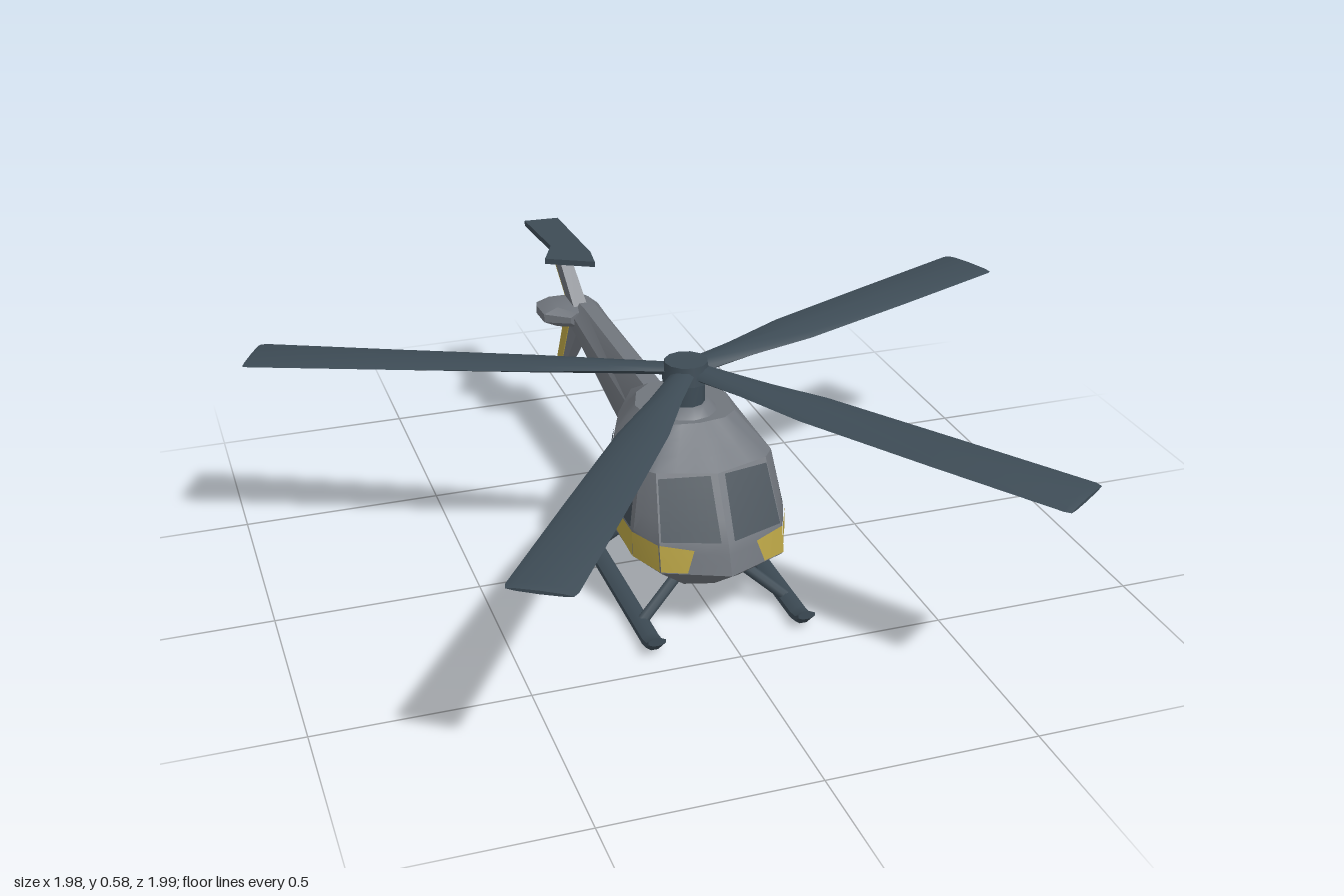
import * as THREE from 'three';
import { toCreasedNormals } from 'three/addons/utils/BufferGeometryUtils.js';

const paint = (name, color, extra = {}) =>
  Object.assign(new THREE.MeshStandardMaterial({ color, ...extra }), { name });

// Closed skin over rings of [x, y, z]; rings turn counterclockwise about the advance direction
function loft(rings, crease = 0.5) {
  const n = rings[0].length, pos = rings.flat(2), idx = [];
  for (let j = 0; j < rings.length - 1; j++)
    for (let i = 0; i < n; i++) {
      const a = j * n + i, b = j * n + (i + 1) % n;
      idx.push(a, b, b + n, a, b + n, a + n);
    }
  const cap = (ring, base, flip) => {
    const c = pos.length / 3;
    for (let k = 0; k < 3; k++) pos.push(ring.reduce((s, p) => s + p[k], 0) / n);
    for (let i = 0; i < n; i++) {
      const a = base + i, b = base + (i + 1) % n;
      if (flip) idx.push(c, b, a); else idx.push(c, a, b);
    }
  };
  cap(rings[0], 0, true);
  cap(rings[rings.length - 1], (rings.length - 1) * n, false);
  const g = new THREE.BufferGeometry();
  g.setAttribute('position', new THREE.Float32BufferAttribute(pos, 3));
  g.setIndex(idx);
  return toCreasedNormals(g, crease);
}

// Octagon facing +z, for the boom and the skids
const octagon = ([cx, cy, z, w, h]) => Array.from({ length: 8 }, (_, i) => {
  const a = (i + 0.5) * Math.PI / 4;
  return [cx + Math.cos(a) * w * 1.08, cy + Math.sin(a) * h * 1.08, z];
});

// Half plan outlines of the cabin [x, z], nose to rear, one per height
const heights = [0.068, 0.09, 0.175, 0.245, 0.39, 0.462];
const plans = [
  [[0, 0.25], [0.05, 0.24], [0.08, 0.18], [0.085, 0.05], [0.07, -0.03], [0.03, -0.06], [0, -0.06]],
  [[0, 0.31], [0.07, 0.29], [0.105, 0.23], [0.11, 0.05], [0.09, -0.05], [0.04, -0.085], [0, -0.085]],
  [[0, 0.43], [0.15, 0.365], [0.187, 0.27], [0.19, 0.05], [0.135, -0.07], [0.055, -0.165], [0, -0.165]],
  [[0, 0.405], [0.15, 0.35], [0.187, 0.27], [0.19, 0.05], [0.135, -0.07], [0.055, -0.18], [0, -0.18]],
  [[0, 0.325], [0.135, 0.28], [0.162, 0.245], [0.165, 0.05], [0.12, -0.06], [0.05, -0.18], [0, -0.18]],
  [[0, 0.2], [0.065, 0.19], [0.1, 0.16], [0.115, 0.06], [0.09, -0.01], [0.045, -0.05], [0, -0.05]],
];
// Point on the cabin at height step l and column c (negative c is the mirrored side)
function cabinPoint(l, c) {
  const j = Math.min(Math.floor(l), 4), u = Math.abs(c), i = Math.min(Math.floor(u), 5);
  const mix = THREE.MathUtils.lerp;
  const at = k => mix(mix(plans[j][i][k], plans[j][i + 1][k], u - i),
    mix(plans[j + 1][i][k], plans[j + 1][i + 1][k], u - i), l - j);
  return new THREE.Vector3(Math.sign(c) * at(0), mix(heights[j], heights[j + 1], l - j), at(1));
}

// Thin painted panel on the cabin; corners [l, c]: bottom start, bottom end, top end, top start
function panel([p, q, r, s], n = 6) {
  const pos = [], idx = [], e = 0.01;
  const midL = (p[0] + r[0]) / 2, midC = (p[1] + q[1] + r[1] + s[1]) / 4;
  for (let j = 0; j <= n; j++)
    for (let i = 0; i <= n; i++) {
      const u = i / n, v = j / n;
      const [l, c] = [0, 1].map(k =>
        (p[k] * (1 - u) + q[k] * u) * (1 - v) + (s[k] * (1 - u) + r[k] * u) * v);
      const li = l + Math.sign(midL - l) * e, ci = c + Math.sign(midC - c) * e;
      const o = cabinPoint(li, ci);
      const normal = cabinPoint(li, ci + e / 2).sub(o)
        .cross(cabinPoint(li + e / 2, ci).sub(o)).normalize();
      pos.push(...cabinPoint(l, c).addScaledVector(normal, 0.004).toArray());
      if (i < n && j < n) {
        const a = j * (n + 1) + i, b = a + n + 1;
        idx.push(a, a + 1, b + 1, a, b + 1, b);
      }
    }
  const g = new THREE.BufferGeometry();
  g.setAttribute('position', new THREE.Float32BufferAttribute(pos, 3));
  g.setIndex(idx);
  g.computeVertexNormals();
  return g;
}

// Tapered fin piece: sections [x, y, zBack, zFront, half thickness], bottom to top
const fin = sections => loft(sections.map(([x, y, z0, z1, t]) =>
  [[x - t, y, z1], [x + t, y, z1], [x + t, y, z0], [x - t, y, z0]]));

export function createModel() {
  const model = new THREE.Group();
  const grey = paint('bodyGrey', 0x70757c);
  const yellow = paint('trimYellow', 0xb5a043);
  const dark = paint('rotorSlate', 0x3d4b55);
  const glass = paint('windowGlass', 0x3f4a53, { side: THREE.DoubleSide });
  const add = (name, geometry, material, parent = model) => {
    const m = new THREE.Mesh(geometry, material);
    m.name = name;
    parent.add(m);
    return m;
  };
  const cylinder = (name, top, bottom, y0, y1, sides, material, x, z) =>
    add(name, toCreasedNormals(new THREE.CylinderGeometry(top, bottom, y1 - y0, sides), 0.9), material)
      .position.set(x, (y0 + y1) / 2, z);

  // Cabin
  const rings = Array.from({ length: 16 }, (_, j) =>
    Array.from({ length: 36 }, (_, i) => cabinPoint(j / 3, (i - 17) / 3).toArray()));
  add('cabin', loft(rings, 0.45), grey);

  // Windows and side trim, mirrored
  const panels = [
    ['windscreen', glass, [[3.02, 0.1], [3.02, 0.97], [3.92, 0.97], [3.97, 0.12]]],
    ['doorWindow', glass, [[3.02, 2.06], [3.02, 2.88], [3.94, 2.88], [3.94, 2.08]]],
    ['rearWindow', glass, [[3.04, 3.18], [3.04, 3.9], [3.85, 3.6], [3.9, 3.18]]],
    ['noseTrim', yellow, [[2.05, 0.62], [2.05, 1], [2.95, 1], [2.8, 0.5]]],
    ['cornerTrim', yellow, [[2.05, 1], [2.05, 2], [2.97, 2], [2.95, 1]]],
    ['sideTrim', yellow, [[2.05, 2], [2.25, 2.95], [2.97, 3], [2.97, 2]]],
  ];
  for (const [name, material, k] of panels) {
    add(name + 'Left', panel(k), material);
    add(name + 'Right', panel([k[1], k[0], k[3], k[2]].map(([l, c]) => [l, -c])), material);
  }

  // Tail boom and gearbox
  add('tailBoom', loft([
    [-0.02, 0.38, -0.8, 0.035, 0.025], [-0.018, 0.378, -0.74, 0.047, 0.04],
    [-0.015, 0.367, -0.65, 0.046, 0.052], [0, 0.29, -0.17, 0.056, 0.116], [0, 0.285, -0.1, 0.06, 0.12],
  ].map(octagon)), grey);
  add('tailGearbox', loft([
    [-0.07, 0.385, -0.8, 0.06, 0.02], [-0.07, 0.385, -0.77, 0.068, 0.028],
    [-0.07, 0.385, -0.7, 0.065, 0.028], [-0.04, 0.385, -0.66, 0.03, 0.02],
  ].map(octagon)), grey);

  // Fins: grey leading half, yellow trailing half
  add('lowerFinFront', fin([[-0.055, 0.2, -0.8, -0.765, 0.01], [-0.03, 0.36, -0.74, -0.66, 0.02]]), grey);
  add('lowerFinRear', fin([[-0.055, 0.2, -0.835, -0.79, 0.012], [-0.03, 0.37, -0.785, -0.735, 0.022]]), yellow);
  add('upperFinFront', fin([[-0.03, 0.39, -0.76, -0.68, 0.02], [-0.06, 0.55, -0.85, -0.765, 0.016]]), grey);
  add('upperFinRear', fin([[-0.03, 0.39, -0.785, -0.75, 0.017], [-0.06, 0.55, -0.875, -0.84, 0.014]]), yellow);

  // Plate on top of the fin
  const outline = [[-0.107, -0.995], [-0.012, -0.99], [0, -0.7], [-0.01, -0.625], [-0.13, -0.69], [-0.09, -0.78]];
  const plate = new THREE.ExtrudeGeometry(
    new THREE.Shape(outline.map(([x, z]) => new THREE.Vector2(x, -z))), { depth: 0.015, bevelEnabled: false });
  add('tailPlate', plate.rotateX(-Math.PI / 2).translate(0, 0.547, 0), dark);

  // Rotor mast and hub
  const hubX = -0.004, hubZ = 0.11;
  cylinder('mastBase', 0.055, 0.085, 0.45, 0.482, 12, grey, hubX, hubZ);
  cylinder('mast', 0.044, 0.046, 0.47, 0.555, 10, dark, hubX, hubZ);
  cylinder('hub', 0.052, 0.058, 0.538, 0.585, 12, dark, hubX, hubZ);

  // Rotor blades: sections [reach, half width, height, half thickness, twist]
  const blade = loft([
    [0.03, 0.03, 0.56, 0.014, 0.15], [0.18, 0.04, 0.558, 0.013, 0.12], [0.36, 0.06, 0.555, 0.011, 0.1],
    [0.7, 0.069, 0.548, 0.01, 0.06], [1.03, 0.075, 0.542, 0.009, 0.03], [1.045, 0.07, 0.541, 0.004, 0.03],
  ].map(([r, w, y, t, twist]) => Array.from({ length: 8 }, (_, i) => {
    const a = i * Math.PI / 4, h = Math.cos(a) * t, d = Math.sin(a) * w;
    return [r, y + h * Math.cos(twist) - d * Math.sin(twist), h * Math.sin(twist) + d * Math.cos(twist)];
  })), 0.7);
  const rotor = new THREE.Group();
  rotor.name = 'mainRotor';
  rotor.position.set(0, 0, 0.105);
  model.add(rotor);
  [[-25, 1.012], [55.3, 0.985], [124.7, 0.985], [205, 1.012]].forEach(([deg, reach], i) => {
    const m = add('blade' + (i + 1), blade, dark, rotor);
    m.rotation.y = -deg * Math.PI / 180;
    m.scale.x = reach;
  });

  // Landing skids with struts
  const strut = (name, a, b) => {
    const from = new THREE.Vector3(...a), to = new THREE.Vector3(...b);
    const m = add(name, new THREE.CylinderGeometry(0.014, 0.014, from.distanceTo(to), 8), dark);
    m.position.copy(from).add(to).multiplyScalar(0.5);
    m.quaternion.setFromUnitVectors(new THREE.Vector3(0, 1, 0), to.sub(from).normalize());
  };
  for (const [side, s] of [['Left', 1], ['Right', -1]]) {
    add('skid' + side, loft([
      [-0.182, 0.022, 0.012], [-0.165, 0.018, 0.017], [0.39, 0.017, 0.017], [0.42, 0.024, 0.016], [0.44, 0.04, 0.01],
    ].map(([z, y, h]) => octagon([s * 0.185, y, z, 0.021, h])), 0.7), dark);
    strut('frontStrut' + side, [s * 0.185, 0.02, 0.315], [s * 0.08, 0.11, 0.275]);
    strut('rearStrut' + side, [s * 0.185, 0.02, -0.075], [s * 0.075, 0.11, -0.04]);
  }
  return model;
}
